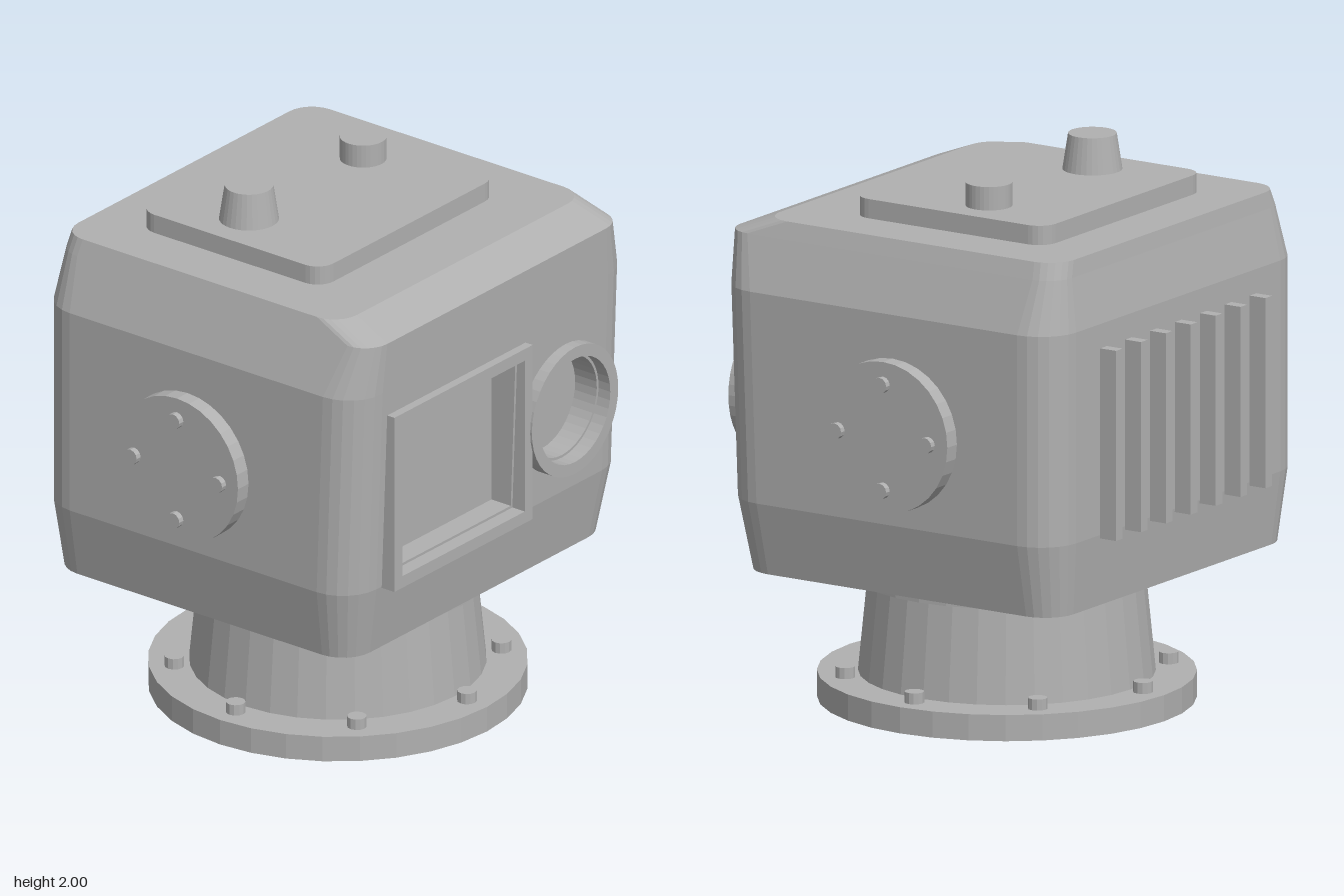
import * as THREE from 'three';
import { mergeGeometries } from 'three/addons/utils/BufferGeometryUtils.js';

const housingGray = new THREE.MeshStandardMaterial({ color: 0xb0b0b0 });
const v2 = (x, y) => new THREE.Vector2(x, y);

// faceted copy of a geometry, positions and normals only
function faceted(geo) {
  const g = geo.index ? geo.toNonIndexed() : geo;
  g.deleteAttribute('uv');
  g.computeVertexNormals();
  return g;
}

function add(parent, name, geo, x = 0, y = 0, z = 0) {
  const m = new THREE.Mesh(faceted(geo), housingGray);
  m.name = name;
  m.position.set(x, y, z);
  parent.add(m);
  return m;
}

// upright cylinder standing on y0
const post = (parent, name, rTop, rBottom, y0, y1, x, z, sides = 32) =>
  add(parent, name, new THREE.CylinderGeometry(rTop, rBottom, y1 - y0, sides), x, (y0 + y1) / 2, z);

const circlePoints = (cx, cy, r, n = 40) => Array.from({ length: n }, (_, i) =>
  v2(cx + r * Math.cos(i / n * Math.PI * 2), cy + r * Math.sin(i / n * Math.PI * 2)));

const rectPoints = (x0, y0, x1, y1) => [v2(x0, y0), v2(x1, y0), v2(x1, y1), v2(x0, y1)];

function shapeWith(points, ...holes) {
  const s = new THREE.Shape(points);
  holes.forEach(h => s.holes.push(new THREE.Path(h)));
  return s;
}

// rounded rectangle outline running from +x towards +second axis
const SEG = 6;
function roundedOutline(hw, back, front, r) {
  const pts = [];
  const corners = [[hw - r, front - r], [-hw + r, front - r], [-hw + r, back + r], [hw - r, back + r]];
  corners.forEach(([cx, cz], c) => {
    for (let i = 0; i <= SEG; i++) {
      const a = (c + i / SEG) * Math.PI / 2;
      pts.push(v2(cx + r * Math.cos(a), cz + r * Math.sin(a)));
    }
  });
  return pts;
}

const frontZ = y => 0.705 + 0.0365 * (y - 0.785); // leaning front face
const FLOOR = 0.62;                               // depth of the front recesses
const windowHole = rectPoints(-0.555, 0.835, 0.12, 1.4);
const lensHole = circlePoints(0.405, 1.12, 0.19);

function housingGeometry() {
  // y, half width, back z, front z, corner radius
  const levels = [
    [0.52, 0.74, -0.68, 0.66, 0.12],
    [0.785, 0.79, -0.705, frontZ(0.785), 0.15],
    [1.55, 0.79, -0.705, frontZ(1.55), 0.15],
    [1.74, 0.722, -0.675, frontZ(1.74), 0.1],
    [1.8, 0.7, -0.667, 0.585, 0.1],
  ];
  const rings = levels.map(([y, hw, b, f, r]) =>
    roundedOutline(hw, b, f, r).map(p => new THREE.Vector3(p.x, y, p.y)));
  const pos = [];
  const tri = (...ps) => ps.forEach(p => pos.push(p.x, p.y, p.z));
  const quad = (a, b, c, d) => { tri(a, b, c); tri(a, c, d); };
  const n = rings[0].length;

  // side walls, leaving out the leaning front face
  for (let k = 0; k < rings.length - 1; k++) {
    for (let i = 0; i < n; i++) {
      if (i === SEG && (k === 1 || k === 2)) continue;
      const j = (i + 1) % n;
      quad(rings[k][i], rings[k + 1][i], rings[k + 1][j], rings[k][j]);
    }
  }
  // top and bottom caps
  const bottom = rings[0], top = rings[rings.length - 1];
  const cb = new THREE.Vector3(0, 0.52, 0), ct = new THREE.Vector3(0, 1.8, 0);
  for (let i = 0; i < n; i++) {
    const j = (i + 1) % n;
    tri(ct, top[j], top[i]);
    tri(cb, bottom[i], bottom[j]);
  }
  // inner walls of the recesses
  for (const hole of [windowHole, lensHole]) {
    hole.forEach((a, i) => {
      const b = hole[(i + 1) % hole.length];
      const at = (p, z) => new THREE.Vector3(p.x, p.y, z);
      quad(at(a, frontZ(a.y)), at(b, frontZ(b.y)), at(b, FLOOR), at(a, FLOOR));
    });
  }
  const shell = new THREE.BufferGeometry();
  shell.setAttribute('position', new THREE.Float32BufferAttribute(pos, 3));

  // leaning front face with two openings
  const edge = [1, 2, 3].map(k => rings[k][SEG]);
  const outline = [...edge.map(p => v2(p.x, p.y)), ...edge.reverse().map(p => v2(-p.x, p.y))];
  const face = new THREE.ShapeGeometry(shapeWith(outline, windowHole, lensHole));
  const fp = face.attributes.position;
  for (let i = 0; i < fp.count; i++) fp.setZ(i, frontZ(fp.getY(i)));
  return mergeGeometries([faceted(shell), faceted(face)]);
}

export function createModel() {
  const model = new THREE.Group();
  model.name = 'sensorHead';

  // pedestal
  const base = new THREE.Group();
  base.name = 'pedestal';
  base.position.z = 0.025;
  model.add(base);
  post(base, 'baseFlange', 0.67, 0.67, 0, 0.095, 0, 0);
  post(base, 'neck', 0.49, 0.525, 0.095, 0.45, 0, 0);
  post(base, 'collar', 0.55, 0.55, 0.45, 0.52, 0, 0);
  for (let i = 0; i < 8; i++) {
    const a = i * Math.PI / 4;
    post(base, 'flangeBolt', 0.035, 0.035, 0.095, 0.135, 0.58 * Math.cos(a), 0.58 * Math.sin(a), 12);
  }

  // housing and recess floors
  add(model, 'housing', housingGeometry());
  add(model, 'windowPane', new THREE.ShapeGeometry(shapeWith(windowHole)), 0, 0, FLOOR);
  add(model, 'lens', new THREE.ShapeGeometry(shapeWith(lensHole)), 0, 0, FLOOR);

  // raised surrounds on the front
  const raised = (name, outer, inner, front) => add(model, name, new THREE.ExtrudeGeometry(
    shapeWith(outer, inner), { depth: front - 0.69, bevelEnabled: false }), 0, 0, 0.69);
  raised('windowFrame', rectPoints(-0.61, 0.78, 0.175, 1.455), rectPoints(-0.565, 0.825, 0.13, 1.41), 0.762);
  raised('lensRing', circlePoints(0.405, 1.12, 0.245), circlePoints(0.405, 1.12, 0.2), 0.77);

  // round side covers with four bolts each
  for (const side of [1, -1]) {
    const cover = new THREE.Group();
    cover.name = side > 0 ? 'leftCover' : 'rightCover';
    cover.position.set(side * 0.78, 1.118, -0.025);
    cover.rotation.z = -side * Math.PI / 2;
    model.add(cover);
    post(cover, 'coverDisc', 0.274, 0.274, 0, 0.07, 0, 0);
    for (let i = 0; i < 4; i++) {
      const a = i * Math.PI / 2;
      post(cover, 'coverBolt', 0.029, 0.029, 0.06, 0.093, 0.192 * Math.cos(a), 0.192 * Math.sin(a), 12);
    }
  }

  // cooling fins on the back
  for (let i = -3; i <= 3; i++) {
    add(model, 'coolingFin', new THREE.BoxGeometry(0.042, 0.69, 0.08), i * 0.156, 1.117, -0.732);
  }

  // top plate with its two fittings
  const plate = new THREE.ExtrudeGeometry(new THREE.Shape(roundedOutline(0.5, -0.345, 0.475, 0.07)),
    { depth: 0.07, bevelEnabled: false });
  plate.rotateX(-Math.PI / 2);
  add(model, 'topPlate', plate, 0, 1.8, 0);
  post(model, 'taperedCap', 0.086, 0.106, 1.87, 2, -0.315, -0.125);
  post(model, 'shortCap', 0.083, 0.083, 1.87, 1.955, 0.333, -0.125);

  return model;
}
